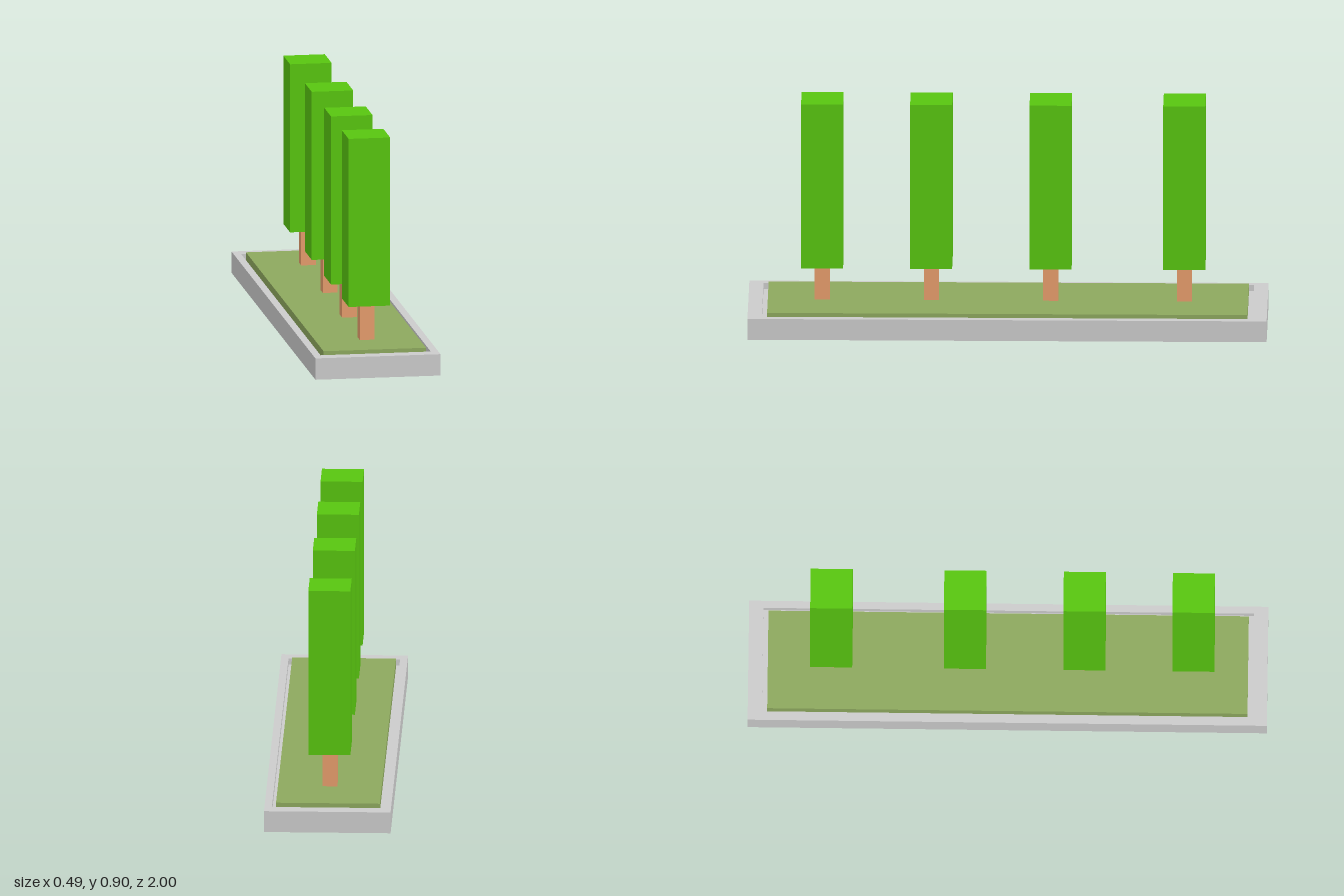
import * as THREE from 'three';

const material = (color) => new THREE.MeshStandardMaterial({ color, flatShading: true });

// Box given by its size, bottom height and z position
function box(name, mat, w, h, d, bottom, z = 0) {
  const mesh = new THREE.Mesh(new THREE.BoxGeometry(w, h, d), mat);
  mesh.name = name;
  mesh.position.set(0, bottom + h / 2, z);
  return mesh;
}

function rectangle(Type, w, d) {
  return new Type([
    new THREE.Vector2(-w / 2, -d / 2), new THREE.Vector2(w / 2, -d / 2),
    new THREE.Vector2(w / 2, d / 2), new THREE.Vector2(-w / 2, d / 2),
  ]);
}

export function createModel() {
  const model = new THREE.Group();
  model.name = 'treePlanter';
  const stone = material(0xcccccc);
  const grass = material(0x8da85e);
  const bark = material(0xe69d6c);
  const leaves = material(0x58c510);
  const floorY = 0.06, curbTop = 0.084;

  // Stone base with a raised rim around a shallow recess
  const curb = new THREE.Group();
  curb.name = 'curb';
  curb.add(box('base', stone, 0.488, floorY, 2, 0));
  const outline = rectangle(THREE.Shape, 0.488, 2);
  outline.holes.push(rectangle(THREE.Path, 0.43, 1.89));
  const rimGeometry = new THREE.ExtrudeGeometry(outline, { depth: curbTop - floorY, bevelEnabled: false });
  rimGeometry.rotateX(-Math.PI / 2);
  const rim = new THREE.Mesh(rimGeometry, stone);
  rim.name = 'rim';
  rim.position.y = floorY;
  curb.add(rim);
  model.add(curb);

  // Lawn slab standing just above the rim
  model.add(box('lawn', grass, 0.4, 0.095 - floorY, 1.85, floorY));

  // Row of box-clipped trees
  for (const z of [0.715, 0.295, -0.165, -0.68]) {
    const tree = new THREE.Group();
    tree.name = 'tree';
    tree.add(box('trunk', bark, 0.058, 0.143, 0.058, 0.095));
    tree.add(box('foliage', leaves, 0.162, 0.662, 0.162, 0.238));
    tree.position.z = z;
    model.add(tree);
  }
  return model;
}
